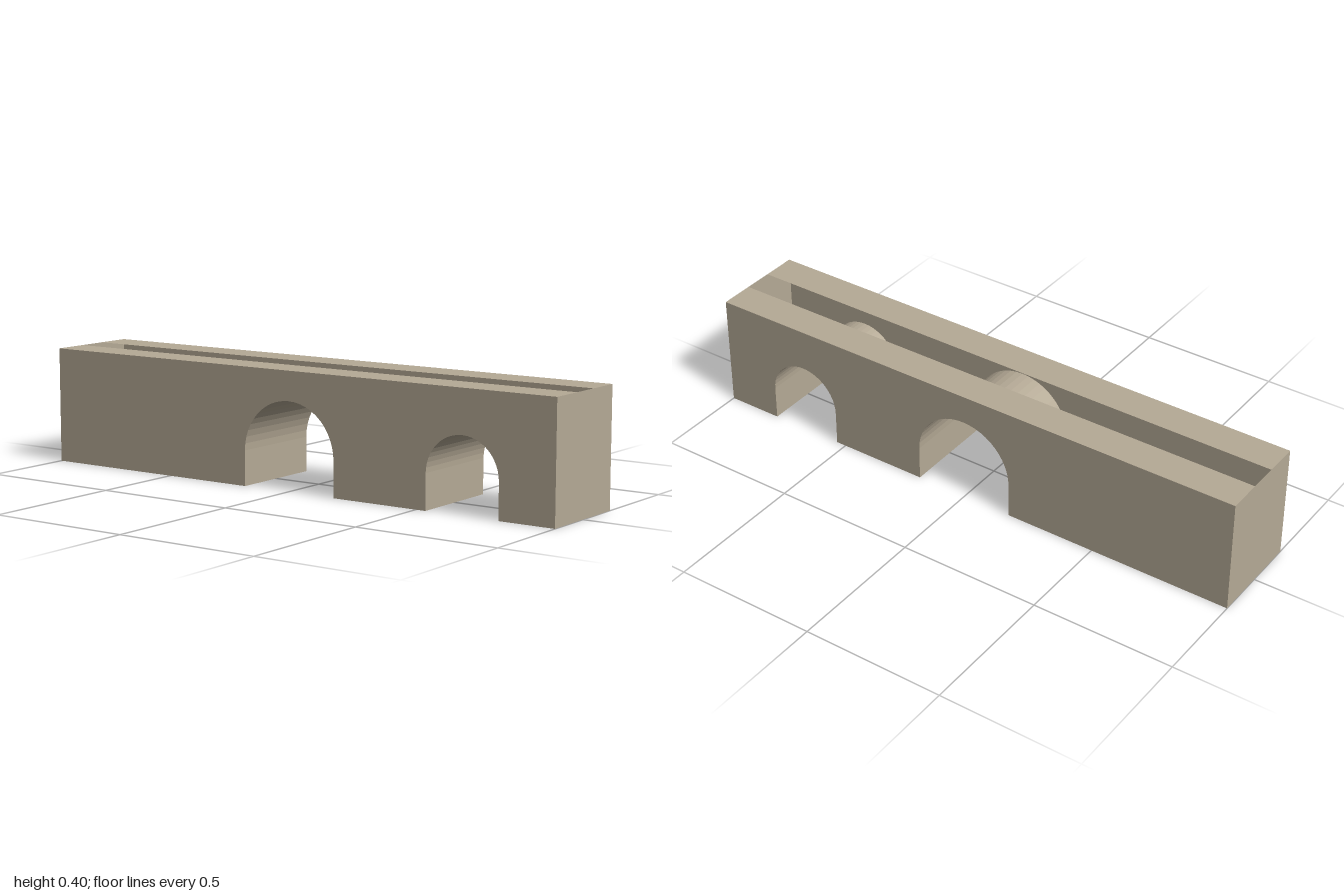
import * as THREE from 'three';

const HEIGHT = 0.4, HALF_LENGTH = 1, HALF_WIDTH = 0.171, SLOT = 0.051, SPRING = 0.12;
const ARCHES = [
  { name: 'largeVault', x: 0.003, r: 0.18 },
  { name: 'smallVault', x: 0.669, r: 0.133 },
];
const ARC_STEPS = 24;

// Arch outline from the left foot over the crown to the right foot
function archProfile({ x, r }) {
  const points = [new THREE.Vector2(x - r, 0)];
  for (let i = 0; i <= ARC_STEPS; i++) {
    const a = Math.PI * (1 - i / ARC_STEPS);
    points.push(new THREE.Vector2(x + r * Math.cos(a), SPRING + r * Math.sin(a)));
  }
  points.push(new THREE.Vector2(x + r, 0));
  return points;
}

// Side wall outline with the arches notched out of its foot
function wallShape() {
  const points = [new THREE.Vector2(-HALF_LENGTH, 0)];
  ARCHES.forEach((arch) => points.push(...archProfile(arch)));
  points.push(
    new THREE.Vector2(HALF_LENGTH, 0),
    new THREE.Vector2(HALF_LENGTH, HEIGHT),
    new THREE.Vector2(-HALF_LENGTH, HEIGHT),
  );
  return new THREE.Shape(points);
}

// Barrel vault with its jambs: a plane bent along the arch outline
function vaultGeometry(arch) {
  const profile = archProfile(arch);
  const n = profile.length;
  const geometry = new THREE.PlaneGeometry(1, 1, n - 1, 1);
  const pos = geometry.attributes.position;
  for (let i = 0; i < pos.count; i++) {
    const p = profile[i % n];
    pos.setXYZ(i, p.x, p.y, i < n ? -HALF_WIDTH : HALF_WIDTH);
  }
  geometry.computeVertexNormals();
  return geometry;
}

export function createModel() {
  const model = new THREE.Group();
  model.name = 'archedViaduct';
  const stone = new THREE.MeshStandardMaterial({ color: 0xb5aa96, side: THREE.DoubleSide, flatShading: true });
  stone.name = 'sandstone';

  const add = (name, geometry) => {
    const mesh = new THREE.Mesh(geometry, stone);
    mesh.name = name;
    model.add(mesh);
    return mesh;
  };

  // Thin shell, open underneath: walls, ends and the two deck strips
  for (const s of [1, -1]) {
    const wall = add(s > 0 ? 'frontWall' : 'backWall', new THREE.ShapeGeometry(wallShape()));
    wall.position.z = s * HALF_WIDTH;
    if (s < 0) {
      // Turn the back wall's faces outward
      const index = wall.geometry.index.array;
      for (let i = 0; i < index.length; i += 3) [index[i], index[i + 1]] = [index[i + 1], index[i]];
      wall.geometry.computeVertexNormals();
    }

    const end = add(s > 0 ? 'leftEnd' : 'rightEnd', new THREE.PlaneGeometry(2 * HALF_WIDTH, HEIGHT));
    end.rotation.y = s * Math.PI / 2;
    end.position.set(s * HALF_LENGTH, HEIGHT / 2, 0);

    const strip = add(s > 0 ? 'frontDeck' : 'backDeck', new THREE.PlaneGeometry(2 * HALF_LENGTH, HALF_WIDTH - SLOT));
    strip.rotation.x = -Math.PI / 2;
    strip.position.set(0, HEIGHT, s * (HALF_WIDTH + SLOT) / 2);
  }

  // Vaults running through the shell
  ARCHES.forEach((arch) => add(arch.name, vaultGeometry(arch)));
  return model;
}
